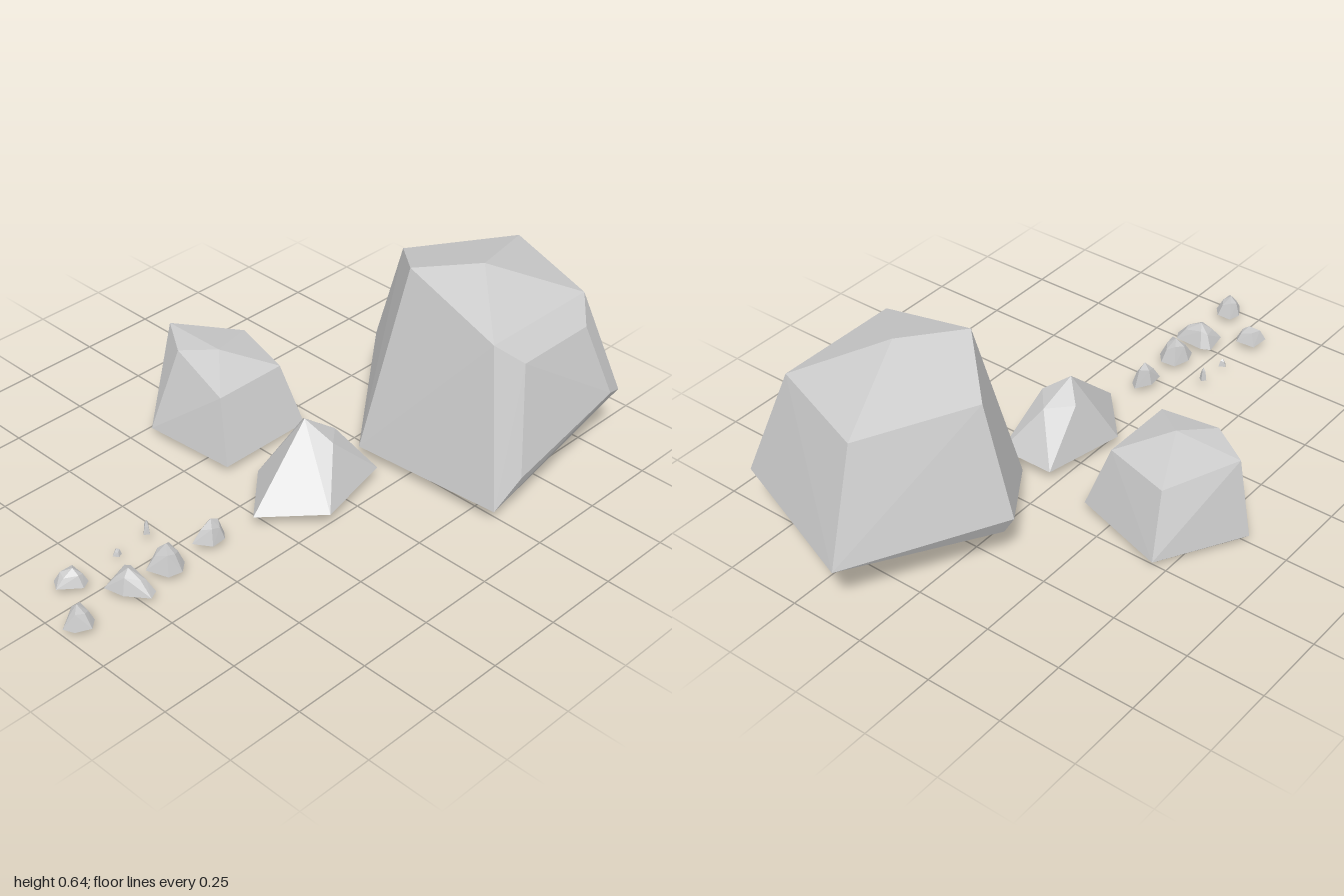
import * as THREE from 'three';
import { ConvexGeometry } from 'three/addons/geometries/ConvexGeometry.js';

const material = new THREE.MeshStandardMaterial({ color: 0xcccccc, flatShading: true });

// Faceted stone wrapped around its corner points
function stone(name, corners) {
  const points = corners.map(([x, y, z]) => new THREE.Vector3(x, y, z));
  const mesh = new THREE.Mesh(new ConvexGeometry(points), material);
  mesh.name = name;
  return mesh;
}

// Pebble: flat base outline [x, z], a shrunken shoulder ring and an off-centre peak
function pebble(name, outline, y0, y1, peak) {
  const h = y1 - y0;
  const corners = outline.map(([x, z]) => [x, y0, z]);
  outline.forEach(([x, z], i) => {
    const k = 0.55 + 0.1 * (i % 2);
    corners.push([
      THREE.MathUtils.lerp(peak[0], x, k),
      y0 + h * (0.55 + 0.12 * (i % 3)),
      THREE.MathUtils.lerp(peak[1], z, k),
    ]);
  });
  corners.push([peak[0], y1, peak[1]]);
  return stone(name, corners);
}

export function createModel() {
  const group = new THREE.Group();
  group.name = 'rocks';

  group.add(stone('largeBoulder', [
    // crown
    [0.52, 0.637, 0.265], [0.345, 0.635, 0.125],
    [0.52, 0.555, -0.06], [0.86, 0.54, 0.125], [0.73, 0.54, 0.485], [0.31, 0.54, 0.485],
    // widest ring, dipping to the ground on the left
    [0.52, 0.2, -0.163], [1, 0.2, 0.085], [0.81, 0.2, 0.59], [0.22, 0.045, 0.597], [0.18, 0.045, 0.085],
    // bulging front panel
    [0.38, 0.475, 0.55], [0.665, 0.475, 0.55], [0.725, 0.24, 0.62], [0.31, 0.135, 0.62],
    // tilted underside
    [0.52, 0.135, -0.125], [0.885, 0.135, 0.115], [0.745, 0.135, 0.52],
  ]));

  group.add(stone('backBoulder', [
    // crown
    [0, 0.287, -0.35], [0, 0.284, -0.577], [-0.09, 0.284, -0.44],
    [0.195, 0.23, -0.44], [0.13, 0.23, -0.212], [-0.125, 0.23, -0.212],
    // widest ring
    [0, 0.026, -0.62], [0.27, 0.026, -0.465], [0.17, 0.026, -0.145], [-0.165, 0.026, -0.145], [-0.19, 0.026, -0.465],
    // underside
    [0, 0, -0.59], [0.215, 0, -0.455], [0.14, 0, -0.185], [-0.14, 0, -0.185], [-0.155, 0, -0.455],
  ]));

  group.add(stone('pointedRock', [
    // peak and broken right shoulder
    [-0.055, 0.265, 0.08], [-0.02, 0.2, 0.165], [0.05, 0.19, 0.105], [0, 0.21, 0.02],
    // base
    [-0.3, 0.045, 0.11], [-0.13, 0.045, -0.045], [0.14, 0.045, 0.012], [0.14, 0.045, 0.2], [-0.13, 0.045, 0.262],
  ]));

  // Trail of pebbles: outline, bottom, top, peak
  const pebbles = [
    [[[-1, 0.08], [-0.95, 0.05], [-0.91, 0.06], [-0.91, 0.11], [-0.94, 0.135], [-0.985, 0.115]], 0.025, 0.09, [-0.95, 0.085]],
    [[[-0.905, -0.065], [-0.885, -0.1], [-0.82, -0.095], [-0.815, -0.03], [-0.845, -0.015]], 0.025, 0.078, [-0.85, -0.055]],
    [[[-0.805, 0.025], [-0.72, 0.01], [-0.705, 0.04], [-0.71, 0.14], [-0.74, 0.155], [-0.79, 0.09]], 0.025, 0.093, [-0.75, 0.07]],
    [[[-0.67, 0.05], [-0.625, 0.033], [-0.57, 0.05], [-0.565, 0.1], [-0.6, 0.13], [-0.645, 0.12]], 0.025, 0.105, [-0.61, 0.075]],
    [[[-0.495, 0.055], [-0.44, 0.05], [-0.39, 0.08], [-0.41, 0.105], [-0.46, 0.108]], 0.025, 0.102, [-0.44, 0.078]],
    [[[-0.692, -0.07], [-0.675, -0.08], [-0.665, -0.06], [-0.68, -0.055]], 0.02, 0.045, [-0.678, -0.066]],
    [[[-0.572, -0.07], [-0.56, -0.083], [-0.547, -0.072], [-0.557, -0.058]], 0.032, 0.08, [-0.559, -0.071]],
  ];
  const trail = new THREE.Group();
  trail.name = 'pebbleTrail';
  pebbles.forEach((p, i) => trail.add(pebble(`pebble${i + 1}`, ...p)));
  group.add(trail);

  return group;
}
